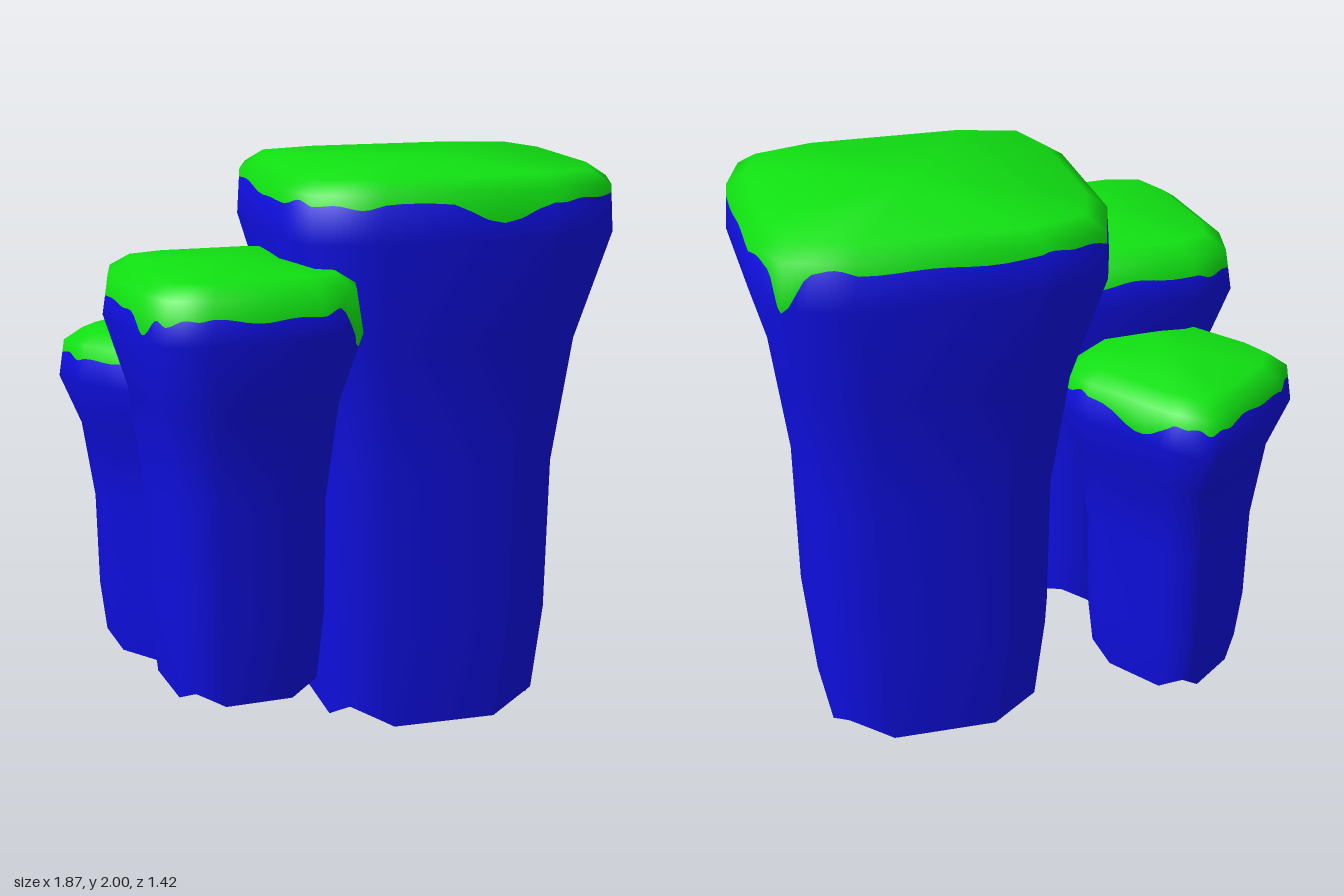
import * as THREE from 'three';

const rock = new THREE.MeshStandardMaterial({ color: 0x0f0fe0 });
rock.name = 'blue rock';
const moss = new THREE.MeshStandardMaterial({ color: 0x10e012 });
moss.name = 'green moss';

const STEPS = 10; // samples along each of the twelve outline edges
const N = 12 * STEPS;

// corners: four [x, z] points of the crown; bulge: how far the sides swell out
// rim, shoulder: scales of the crown's edge
// drips: [outline position, depth, half width] of moss hanging down
const pillars = [
  {
    name: 'tallPillar', centre: [0.325, -0.03], foot: 0, top: 2, edge: 1.905, notch: 0.08,
    corners: [[-0.23, -0.49], [0.83, -0.53], [0.87, 0.42], [-0.19, 0.47]], bulge: 0.07,
    rim: 0.985, shoulder: 0.88, drips: [[7.3, 0.08, 0.35], [3, 0.13, 0.4]],
  },
  {
    name: 'middlePillar', centre: [-0.415, 0.265], foot: 0.23, top: 1.712, edge: 1.585, notch: 0.05,
    corners: [[-0.8, -0.06], [-0.12, -0.1], [-0.04, 0.59], [-0.7, 0.67]], bulge: 0.05,
    rim: 0.95, shoulder: 0.79, drips: [[6, 0.12, 0.5], [9.8, 0.06, 0.5]],
  },
  {
    name: 'shortPillar', centre: [-0.535, -0.265], foot: 0.16, top: 1.392, edge: 1.285, notch: 0.06,
    corners: [[-0.52, -0.72], [-0.14, -0.22], [-0.54, 0.14], [-0.94, -0.35]], bulge: 0.03,
    rim: 0.95, shoulder: 0.79, drips: [[1.4, 0.05, 0.5]],
  },
];

const mix = (a, b, t) => a.map((v, i) => v + (b[i] - v) * t);
const unit = (a) => { const l = Math.hypot(...a) || 1; return a.map((v) => v / l); };
const outward = (a, b) => unit([b[1] - a[1], a[0] - b[0]]);

// Twelve-sided outline: each corner, then two swollen points on the side after it
function makeOutline({ corners, bulge }) {
  return corners.flatMap((a, i) => {
    const b = corners[(i + 1) % 4], n = outward(a, b);
    const swell = (t) => mix(a, b, t).map((v, k) => v + n[k] * bulge);
    return [a, swell(0.22), swell(0.78)];
  });
}

// Rings from foot to crown as [height, scale]
function makeRings({ foot, top, rim, shoulder }) {
  const h = top - foot;
  return [[foot, 0.635], [foot + h * 0.2, 0.705], [foot + h * 0.475, 0.72], [foot + h * 0.7, 0.82],
    [top - 0.15 - h * 0.035, 1], [top - 0.06, rim], [top - 0.016, shoulder], [top, 0]];
}

// Point and smooth outward normal on the outline at position u (0..12)
function outlineAt(p, u) {
  const at = (i) => p.outline[(i + 12) % 12];
  const corner = (i) => unit(mix(outward(at(i - 1), at(i)), outward(at(i), at(i + 1)), 0.5));
  const i = Math.floor(u), t = u - i;
  return { point: mix(at(i), at(i + 1), t), normal: unit(mix(corner(i), corner(i + 1), t)) };
}

// Scale and side-profile normal [outward, up] at height y
function profileAt(p, y) {
  const r = p.rings, last = r.length - 1;
  const seg = (i) => unit([r[i + 1][0] - r[i][0], (r[i][1] - r[i + 1][1]) * 0.45]);
  const ring = (i) => (i === last ? [0, 1] : i === 0 ? seg(0) : unit(mix(seg(i - 1), seg(i), 0.5)));
  let i = 0;
  while (i < last - 1 && y > r[i + 1][0]) i++;
  const t = Math.min(1, Math.max(0, (y - r[i][0]) / (r[i + 1][0] - r[i][0])));
  return { scale: r[i][1] + (r[i + 1][1] - r[i][1]) * t, normal: unit(mix(ring(i), ring(i + 1), t)) };
}

// Height of the ragged border between moss and rock
function borderAt(p, u) {
  const a = (u * Math.PI) / 6;
  let y = p.edge + 0.008 * Math.sin(7 * a + p.top * 9) + 0.006 * Math.sin(17 * a);
  for (const [at, depth, half] of p.drips) {
    const d = Math.abs(((u - at + 18) % 12) - 6) / half;
    if (d < 1) y -= depth * (0.5 + 0.5 * Math.cos(Math.PI * d));
  }
  return y;
}

// Zigzag foot: the corners of the base are lifted
function footAt(p, u) {
  const d = Math.abs(((u + 1.5) % 3) - 1.5);
  return p.foot + p.notch * Math.max(0, 1 - d);
}

function build(pos, idx) {
  const g = new THREE.BufferGeometry();
  g.setAttribute('position', new THREE.Float32BufferAttribute(pos, 3));
  g.setIndex(idx);
  return g;
}

// Loft rows around the pillar; heightAt(row, u) gives the height of each point
function loft(p, rows, heightAt) {
  const pos = [], nor = [], idx = [], w = N + 1;
  for (let j = 0; j < rows; j++) {
    for (let k = 0; k <= N; k++) {
      const u = (k % N) / STEPS, y = heightAt(j, u);
      const o = outlineAt(p, u), f = profileAt(p, y);
      const [x, z] = mix(p.centre, o.point, f.scale);
      pos.push(x, y, z);
      nor.push(o.normal[0] * f.normal[0], f.normal[1], o.normal[1] * f.normal[0]);
      if (j && k) {
        const a = (j - 1) * w + k - 1, b = a + 1, c = a + w, d = c + 1;
        if (pos[a * 3 + 1] !== pos[c * 3 + 1] || pos[b * 3 + 1] !== pos[d * 3 + 1]) idx.push(a, c, b, b, c, d);
      }
    }
  }
  const g = build(pos, idx);
  g.setAttribute('normal', new THREE.Float32BufferAttribute(nor, 3));
  return g;
}

// Fan closing the base
function underside(p) {
  const pos = [p.centre[0], p.foot + p.notch * 0.4, p.centre[1]], idx = [];
  p.outline.forEach((point, k) => {
    const [x, z] = mix(p.centre, point, p.rings[0][1]);
    pos.push(x, footAt(p, k), z);
    idx.push(0, k + 1, ((k + 1) % 12) + 1);
  });
  const g = build(pos, idx);
  g.computeVertexNormals();
  return g;
}

export function createModel() {
  const model = new THREE.Group();
  model.name = 'rockPillars';
  for (const spec of pillars) {
    const p = { ...spec, outline: makeOutline(spec), rings: makeRings(spec) };
    const group = new THREE.Group();
    group.name = p.name;
    const add = (name, geometry, material) => {
      const mesh = new THREE.Mesh(geometry, material);
      mesh.name = name;
      group.add(mesh);
    };
    const heights = p.rings.map((r) => r[0]);
    const upper = heights.slice(3);
    // Rock column up to the ragged border, moss cap above it
    add('column', loft(p, heights.length, (j, u) => (j ? Math.min(heights[j], borderAt(p, u)) : footAt(p, u))), rock);
    add('mossCap', loft(p, upper.length, (j, u) => Math.max(upper[j], borderAt(p, u))), moss);
    add('underside', underside(p), rock);
    model.add(group);
  }
  return model;
}
